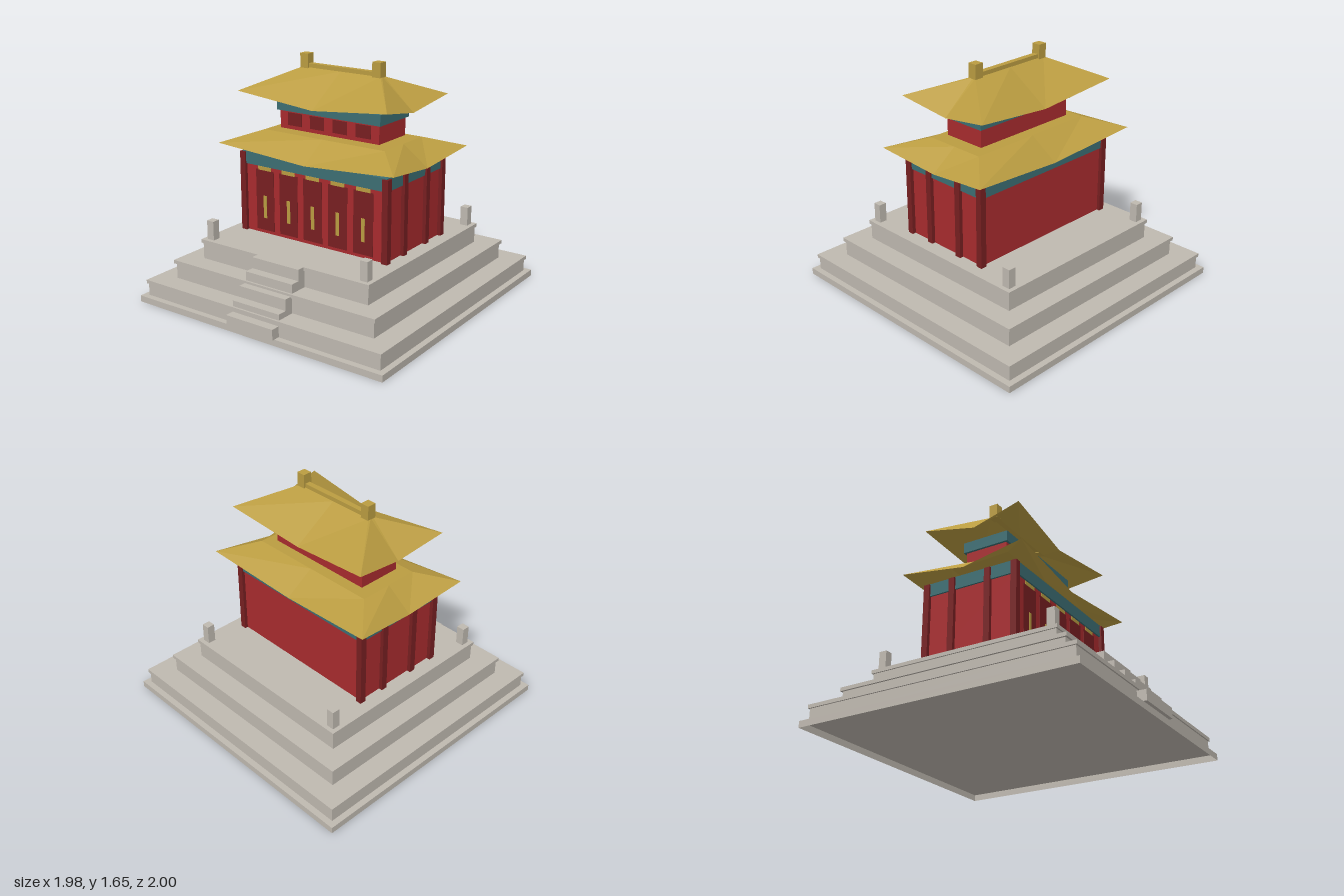
import * as THREE from 'three';

const Z0 = -0.0108; // centre line of terrace and hall; the stairs project to z = 1

function material(name, color, side = THREE.FrontSide) {
  const m = new THREE.MeshStandardMaterial({ color, side });
  m.name = name;
  return m;
}

// Hipped roof sheet: eight-point eave with raised corners and dropped middles, up to a flat top.
function roofGeometry({ corner, mid, top, yCorner, yMid, yTop }) {
  const dirs = [[-1, 1], [0, 1], [1, 1], [1, 0], [1, -1], [0, -1], [-1, -1], [-1, 0]];
  const eave = dirs.map(([x, z]) => (x && z
    ? [x * corner[0], yCorner, z * corner[1]]
    : [x * mid[0], yMid, z * mid[1]]));
  const crown = dirs.map(([x, z]) => [x * top[0], yTop, z * top[1]]);
  const pos = [];
  for (let i = 0; i < 8; i++) {
    const j = (i + 1) % 8;
    pos.push(...eave[i], ...eave[j], ...crown[j]);
    pos.push(...eave[i], ...crown[j], ...crown[i]);
    pos.push(0, yTop, 0, ...crown[i], ...crown[j]);
  }
  const g = new THREE.BufferGeometry();
  g.setAttribute('position', new THREE.Float32BufferAttribute(pos, 3));
  g.computeVertexNormals();
  return g;
}

export function createModel() {
  const model = new THREE.Group();
  model.name = 'pavilion';
  const stone = material('stone', 0xbfb9b0, THREE.DoubleSide);
  const red = material('red wall', 0xa82b2e);
  const darkRed = material('dark red wood', 0x771f21);
  const teal = material('teal beam', 0x3c6e73);
  const gold = material('gold roof and trim', 0xba9c41, THREE.DoubleSide);

  // Box given by half width, bottom, top, half depth and centre
  function box(name, mat, hx, y0, y1, hz, x = 0, z = Z0) {
    const mesh = new THREE.Mesh(new THREE.BoxGeometry(hx * 2, y1 - y0, hz * 2), mat);
    mesh.position.set(x, (y0 + y1) / 2, z);
    mesh.name = name;
    model.add(mesh);
    return mesh;
  }

  // Base slab, hollow underneath: the downward face of the box is left out
  const slab = box('baseSlab', stone, 0.989, 0, 0.045, 0.989).geometry;
  slab.setIndex(Array.from(slab.index.array).filter((_, i) => i < 18 || i >= 24));
  slab.clearGroups();

  // Three terrace tiers, each with a projecting lip
  const tiers = [
    [0.947, 0.957, 0.045, 0.132, 0.157],
    [0.809, 0.822, 0.157, 0.265, 0.29],
    [0.677, 0.687, 0.29, 0.404, 0.429],
  ];
  for (const [half, lip, y0, y1, y2] of tiers) {
    box('terraceTier', stone, half, y0, y1, half);
    box('terraceLip', stone, lip, y1, y2, lip);
  }

  // Front stairs
  for (let i = 0; i < 5; i++) {
    const front = 1 - i * 0.0675;
    const back = 0.6;
    box('stairStep', stone, 0.189, 0.047, 0.12 + i * 0.07725, (front - back) / 2, 0, (front + back) / 2);
  }

  // Terrace corner posts
  for (const sx of [-1, 1]) {
    for (const sz of [-1, 1]) {
      box('terracePost', stone, 0.028, 0.429, 0.562, 0.028, sx * 0.628, Z0 + sz * 0.629);
    }
  }

  // Lower hall
  box('hallWall', red, 0.578, 0.429, 0.91, 0.335);
  box('hallBeam', teal, 0.59, 0.91, 0.999, 0.347);
  for (const sx of [-1, 1]) {
    for (const dz of [-0.336, -0.137, 0.137, 0.336]) {
      box('hallColumn', darkRed, 0.022, 0.429, 0.993, 0.022, sx * 0.582, Z0 + dz);
    }
  }

  // Five front doors with gold handles and lintels
  const wallFront = Z0 + 0.335;
  for (let i = -2; i <= 2; i++) {
    const x = i * 0.2025;
    box('doorPanel', darkRed, 0.0765, 0.451, 0.882, 0.002, x, wallFront + 0.001);
    box('doorHandle', gold, 0.0135, 0.54, 0.7, 0.002, x, wallFront + 0.004);
    box('doorLintel', gold, 0.055, 0.88, 0.906, 0.002, x, wallFront + 0.003);
  }

  // Upper storey with four front windows
  box('upperWall', red, 0.403, 1.147, 1.273, 0.157);
  box('upperBeam', teal, 0.42, 1.273, 1.348, 0.173);
  for (const x of [-0.28, -0.0935, 0.0935, 0.28]) {
    box('upperWindow', darkRed, 0.059, 1.173, 1.262, 0.002, x, Z0 + 0.157);
  }

  // Roofs
  const roofs = {
    lowerRoof: { corner: [0.707, 0.459], mid: [0.675, 0.428], top: [0.49, 0.225], yCorner: 1.056, yMid: 1, yTop: 1.135 },
    upperRoof: { corner: [0.598, 0.371], mid: [0.561, 0.337], top: [0.317, 0.02], yCorner: 1.416, yMid: 1.35, yTop: 1.557 },
  };
  for (const [name, shape] of Object.entries(roofs)) {
    const roof = new THREE.Mesh(roofGeometry(shape), gold);
    roof.name = name;
    roof.position.z = Z0;
    model.add(roof);
  }

  // Ridge bar and its end posts
  box('ridgeBar', gold, 0.29, 1.557, 1.585, 0.02);
  for (const sx of [-1, 1]) {
    box('ridgePost', gold, 0.032, 1.551, 1.652, 0.032, sx * 0.293);
  }
  return model;
}
